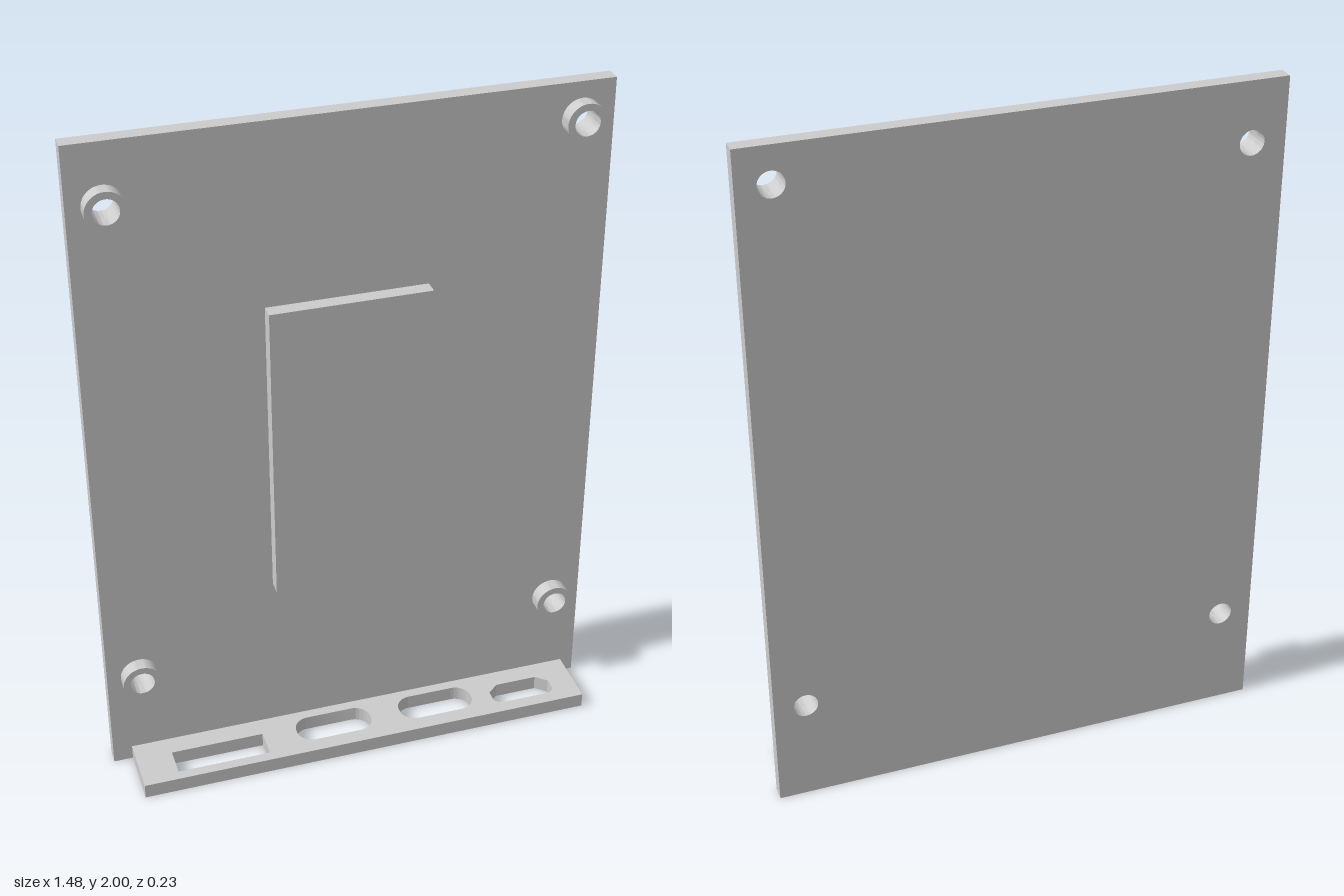
import * as THREE from 'three';
import { toCreasedNormals } from 'three/addons/utils/BufferGeometryUtils.js';

const BACK = -0.113, FACE = -0.068, RAISED = -0.025, FRONT = 0.113;
const HOLE_R = 0.036, BOSS_R = 0.056;
const mounts = [[-0.643, 1.827], [0.647, 1.897], [-0.643, 0.313], [0.647, 0.313]];

function rect(x0, x1, y0, y1, Type = THREE.Shape) {
  return new Type([[x0, y0], [x1, y0], [x1, y1], [x0, y1]].map(p => new THREE.Vector2(...p)));
}

function circle(x, y, r, Type = THREE.Path) {
  const c = new Type();
  c.absarc(x, y, r, 0, Math.PI * 2);
  return c;
}

// Rounded opening; r is the corner radius
function slot(x0, x1, y0, y1, r) {
  const p = new THREE.Path();
  p.absarc(x1 - r, y0 + r, r, -Math.PI / 2, 0);
  p.absarc(x1 - r, y1 - r, r, 0, Math.PI / 2);
  p.absarc(x0 + r, y1 - r, r, Math.PI / 2, Math.PI);
  p.absarc(x0 + r, y0 + r, r, Math.PI, Math.PI * 1.5);
  p.closePath();
  return p;
}

// Opening with two rounded and two chamfered corners
function chamferedSlot(x0, x1, y0, y1, r, c) {
  const p = new THREE.Path();
  p.absarc(x1 - r, y0 + r, r, -Math.PI / 2, 0);
  p.lineTo(x1, y1 - c);
  p.lineTo(x1 - c * 1.2, y1);
  p.lineTo(x0 + c * 1.2, y1);
  p.lineTo(x0, y1 - c);
  p.absarc(x0 + r, y0 + r, r, Math.PI, Math.PI * 1.5);
  p.closePath();
  return p;
}

function extrude(shape, depth) {
  const g = new THREE.ExtrudeGeometry(shape, { depth, bevelEnabled: false, curveSegments: 20 });
  return toCreasedNormals(g, 0.6);
}

export function createModel() {
  const group = new THREE.Group();
  const material = new THREE.MeshStandardMaterial({ color: 0xcccccc });
  const add = (name, geometry) => {
    const mesh = new THREE.Mesh(geometry, material);
    mesh.name = name;
    group.add(mesh);
    return mesh;
  };

  // Upright plate with screw holes
  const plate = rect(-0.74, 0.74, 0, 2);
  mounts.forEach(([x, y]) => plate.holes.push(circle(x, y, HOLE_R)));
  add('backPlate', extrude(plate, FACE - BACK)).position.z = BACK;

  // Hollow standoffs around the holes
  mounts.forEach(([x, y], i) => {
    const ring = circle(0, 0, BOSS_R, THREE.Shape);
    ring.holes.push(circle(0, 0, HOLE_R));
    add('standoff' + (i + 1), extrude(ring, RAISED - FACE)).position.set(x, y, FACE);
  });

  // Raised rectangular pad
  add('centrePad', extrude(rect(-0.233, 0.228, 0.553, 1.468), RAISED - FACE)).position.z = FACE;

  // Bottom shelf with port openings, drawn in (x, -z) and laid flat
  const shelf = rect(-0.683, 0.7, -FRONT, -FACE);
  shelf.holes.push(
    rect(-0.575, -0.295, -0.082, 0.005, THREE.Path),
    slot(-0.193, 0.041, -0.066, 0.037, 0.047),
    slot(0.134, 0.367, -0.066, 0.037, 0.047),
    chamferedSlot(0.428, 0.623, -0.074, 0.009, 0.026, 0.028),
  );
  add('portShelf', extrude(shelf, 0.045).rotateX(-Math.PI / 2));

  return group;
}
